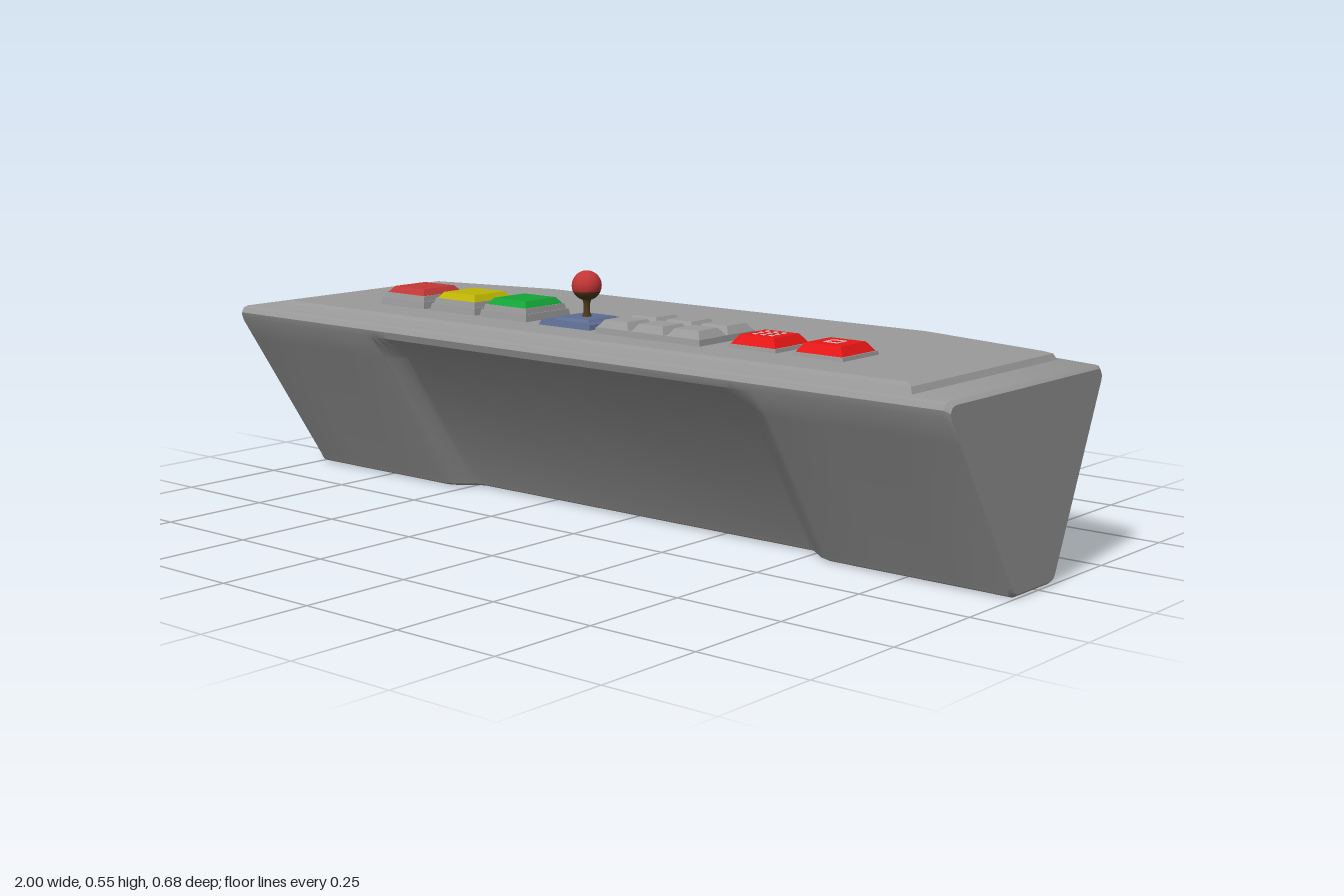
import * as THREE from 'three';
import { toCreasedNormals } from 'three/addons/utils/BufferGeometryUtils.js';

const mat = (name, color) => {
  const m = new THREE.MeshStandardMaterial({ color });
  m.name = name;
  return m;
};

const clamp01 = (v) => Math.min(1, Math.max(0, v));

// Cross-section of the wedge at one x: front edge, bottom, back edge, as [z, y]
function section(x) {
  const ax = Math.abs(x);
  const wing = clamp01((ax - 0.55) / 0.45);
  const recess = 0.048 * THREE.MathUtils.smoothstep(0.56 - ax, 0, 0.08);
  const front = [[0.322, 0.418], [0.334, 0.414], [0.34, 0.403], [0.334, 0.387]];
  const inner = [[0.301, 0.335], [0.102, 0.02], [0.094, 0.006], [0.08, 0]]
    .map(([z, y]) => [z - recess, y]);
  const back = [[-0.056, 0], [-0.068, 0.005], [-0.079, 0.02],
    [-0.334, 0.39], [-0.34, 0.403], [-0.334, 0.414], [-0.322, 0.418]]
    .map(([z, y]) => [z + wing * 0.11 * clamp01((y + 0.02) / 0.42), y]);
  let ring = [...front, ...inner, ...back];
  // Slightly shrunken end rings round off the end edges
  if (ax > 0.995) ring = ring.map(([z, y]) => [0.03 + (z - 0.03) * 0.975, 0.22 + (y - 0.22) * 0.965]);
  return ring.map(([z, y]) => [x, y, z]);
}

function bodyGeometry() {
  const half = [0.48, 0.5, 0.52, 0.54, 0.56, 0.7, 0.85, 0.99, 1];
  const xs = [...half.map((x) => -x).reverse(), 0, ...half];
  const rings = xs.map(section);
  const n = rings[0].length;
  const pos = rings.flat(2);
  const idx = [];
  for (let i = 0; i < xs.length - 1; i++) {
    for (let j = 0; j < n; j++) {
      const k = (j + 1) % n;
      const a = i * n + j, b = i * n + k, c = b + n, d = a + n;
      idx.push(a, b, c, a, c, d);
    }
  }
  // End caps as fans
  const last = (xs.length - 1) * n;
  const centre = pos.length / 3;
  pos.push(-1, 0.25, 0.04, 1, 0.25, 0.04);
  for (let j = 0; j < n; j++) {
    const k = (j + 1) % n;
    idx.push(centre, k, j, centre + 1, last + j, last + k);
  }
  const g = new THREE.BufferGeometry();
  g.setAttribute('position', new THREE.Float32BufferAttribute(pos, 3));
  g.setIndex(idx);
  return toCreasedNormals(g, 0.6);
}

// Raised deck with chamfered rim
function deckGeometry() {
  const pts = [[-0.9, -0.308], [0.9, -0.308], [0.9, 0.22], [0.55, 0.3], [-0.55, 0.3], [-0.9, 0.22]];
  const shape = new THREE.Shape(pts.map(([x, y]) => new THREE.Vector2(x, y)));
  const g = new THREE.ExtrudeGeometry(shape, {
    depth: 0.02, bevelThickness: 0.018, bevelSize: 0.024, bevelOffset: -0.024, bevelSegments: 2,
  });
  g.rotateX(-Math.PI / 2);
  g.translate(0, 0.398, 0);
  return g;
}

// Block standing on y = 0 whose top is inset on all sides
function taperedBlock(w, h, d, inset) {
  const g = new THREE.BoxGeometry(w, h, d);
  g.translate(0, h / 2, 0);
  const p = g.attributes.position;
  for (let i = 0; i < p.count; i++) {
    if (p.getY(i) > h / 2) {
      p.setX(i, p.getX(i) - Math.sign(p.getX(i)) * inset);
      p.setZ(i, p.getZ(i) - Math.sign(p.getZ(i)) * inset);
    }
  }
  g.computeVertexNormals();
  return g;
}

export function createModel() {
  const grey = mat('casing grey', 0x9a9a9a);
  const softRed = mat('soft red', 0xc23636);
  const yellow = mat('yellow', 0xbcb404);
  const green = mat('green', 0x14a538);
  const blue = mat('slate blue', 0x5d6c92);
  const brightRed = mat('bright red', 0xe81616);
  const brown = mat('dark brown', 0x4d3a1c);
  const pale = mat('pale marking', 0xe6c8c8);

  const model = new THREE.Group();
  model.name = 'controlConsole';
  const add = (parent, name, geo, material, x = 0, y = 0, z = 0) => {
    const m = new THREE.Mesh(geo, material);
    m.name = name;
    m.position.set(x, y, z);
    parent.add(m);
    return m;
  };
  const group = (name, x, z) => {
    const g = new THREE.Group();
    g.name = name;
    g.position.set(x, 0.435, z);
    model.add(g);
    return g;
  };

  add(model, 'casing', bodyGeometry(), grey);
  add(model, 'deck', deckGeometry(), grey);

  // Three large coloured buttons
  [[-0.595, softRed], [-0.43, yellow], [-0.27, green]].forEach(([x, colour]) => {
    const b = group('largeButton', x, 0.113);
    add(b, 'buttonBase', taperedBlock(0.145, 0.017, 0.145, 0.003), grey);
    add(b, 'buttonCollar', taperedBlock(0.132, 0.012, 0.132, 0.003), grey, 0, 0.017);
    add(b, 'buttonCap', taperedBlock(0.12, 0.014, 0.12, 0.011), colour, 0, 0.029);
  });

  // Joystick
  const stick = group('joystick', -0.08, 0.115);
  add(stick, 'joystickPlate', taperedBlock(0.15, 0.012, 0.15, 0.004), blue);
  add(stick, 'joystickSocket', taperedBlock(0.1, 0.006, 0.1, 0.006), blue, 0, 0.012);
  const shaft = [[0.012, 0], [0.007, 0.012], [0.007, 0.03], [0.01, 0.042], [0.016, 0.052]]
    .map(([r, y]) => new THREE.Vector2(r, y));
  add(stick, 'joystickShaft', new THREE.LatheGeometry(shaft, 16), brown, 0, 0.015);
  const split = Math.PI * 0.62;
  add(stick, 'ballTop', new THREE.SphereGeometry(0.033, 24, 14, 0, Math.PI * 2, 0, split), softRed, 0, 0.086);
  add(stick, 'ballUnderside',
    new THREE.SphereGeometry(0.033, 24, 8, 0, Math.PI * 2, split, Math.PI - split), brown, 0, 0.086);

  // Keypad of six grey keys
  const pad = group('keypad', 0.17, 0.113);
  add(pad, 'keypadBase', taperedBlock(0.29, 0.014, 0.19, 0.002), grey);
  for (let c = -1; c <= 1; c++) {
    for (const r of [-1, 1]) {
      add(pad, 'key', taperedBlock(0.088, 0.016, 0.088, 0.012), grey, c * 0.097, 0.014, r * 0.047);
    }
  }

  // Two bright red buttons
  const redButtons = [0.425, 0.59].map((x) => {
    const b = group('redButton', x, 0.116);
    add(b, 'redButtonBase', taperedBlock(0.125, 0.009, 0.125, 0.002), grey);
    add(b, 'redButtonCap', taperedBlock(0.114, 0.019, 0.114, 0.014), brightRed, 0, 0.009);
    return b;
  });
  // Thin markings: scattered dots on one, an open square on the other
  const dot = new THREE.BoxGeometry(0.009, 0.002, 0.009);
  for (let i = 0; i < 9; i++) {
    add(redButtons[0], 'dot', dot, pale, ((i % 3) - 1) * 0.021, 0.0285, (Math.floor(i / 3) - 1) * 0.021);
  }
  for (const s of [-1, 1]) {
    add(redButtons[1], 'squareSide', new THREE.BoxGeometry(0.004, 0.002, 0.034), pale, s * 0.015, 0.0285, 0);
    add(redButtons[1], 'squareEnd', new THREE.BoxGeometry(0.026, 0.002, 0.004), pale, 0, 0.0285, s * 0.015);
  }

  return model;
}
